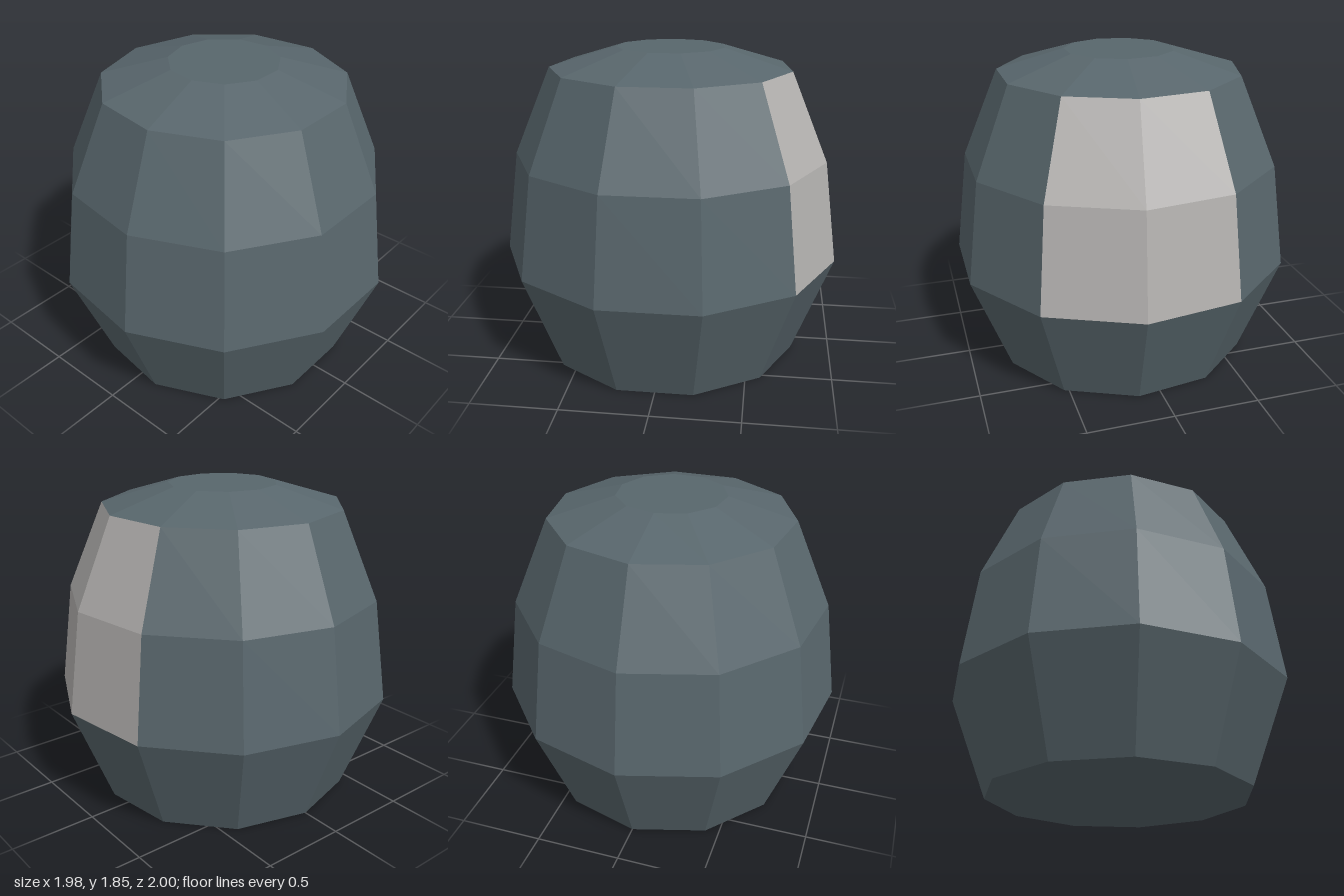
import * as THREE from 'three';

const SIDES = 11;
const STEP = (Math.PI * 2) / SIDES;
const START = -Math.PI / 2; // a corner points to -x

// [radius, height] from the base up
const BASE = [[0, 0], [0.775, 0], [1.01, 0.605]];
const WALL = [[1.01, 0.605], [0.931, 1.21], [0.714, 1.725]];
const LID = [[0.714, 1.725], [0.32, 1.845], [0, 1.845]];

export function createModel() {
  const model = new THREE.Group();
  model.name = 'barrel';

  const dark = new THREE.MeshStandardMaterial({ color: 0x58666c, flatShading: true });
  const pale = new THREE.MeshStandardMaterial({ color: 0xb4b2b0, flatShading: true });

  // Faceted band covering `count` sides, beginning at side `first`
  function band(name, profile, material, first = 0, count = SIDES) {
    const points = profile.map(([r, y]) => new THREE.Vector2(r, y));
    const geometry = new THREE.LatheGeometry(points, count, START + first * STEP, count * STEP);
    const mesh = new THREE.Mesh(geometry, material);
    mesh.name = name;
    mesh.position.x = 0.02; // centres the odd-sided outline
    model.add(mesh);
  }

  band('base', BASE, dark);
  band('wall', WALL, dark, -2, SIDES - 2);
  // Two pale sides at the back
  band('backPanel', WALL, pale, -4, 2);
  band('lid', LID, dark);

  return model;
}
